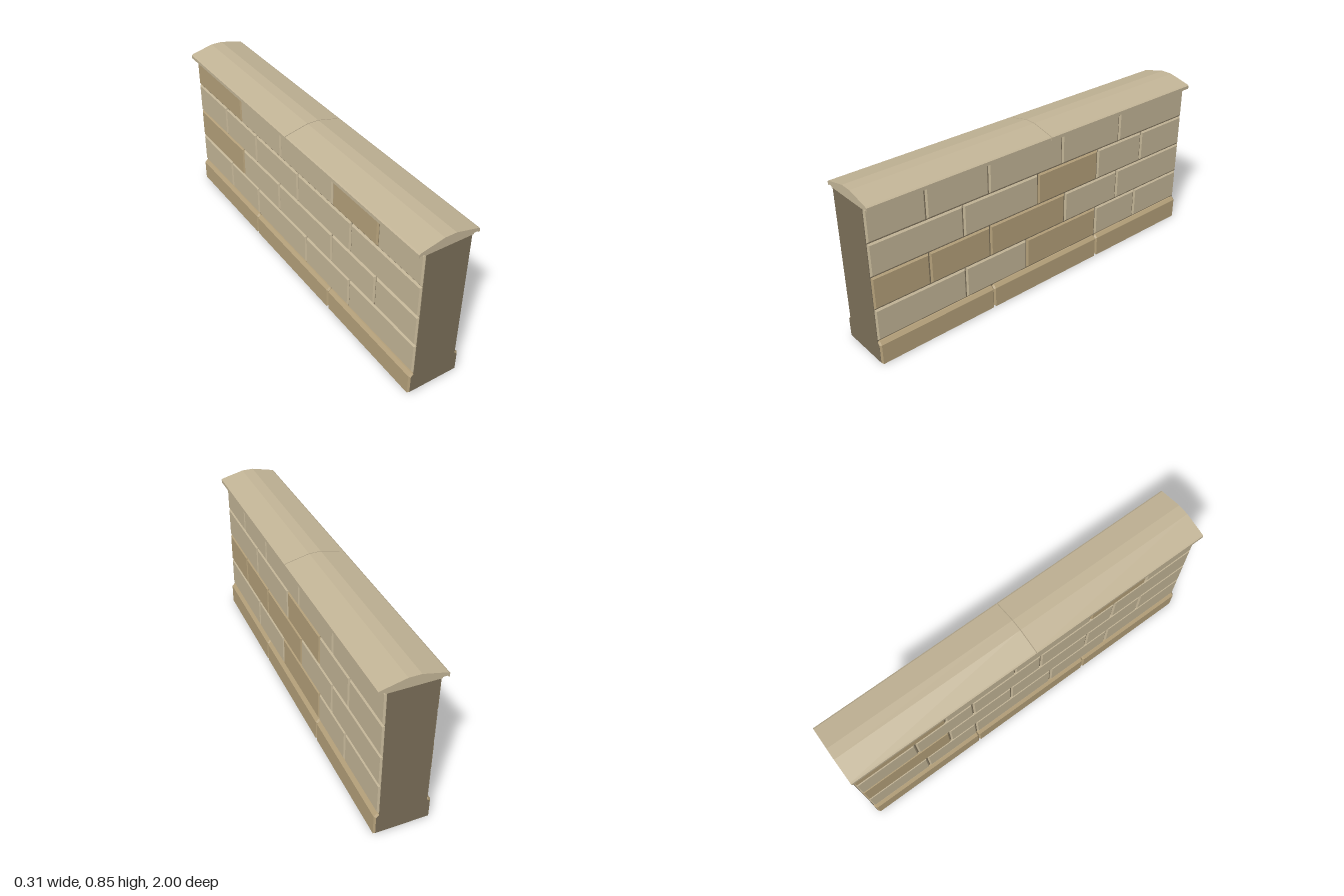
import * as THREE from 'three';

const stone = (color) => new THREE.MeshStandardMaterial({ color });
const lightStone = stone(0xc2b496);
const darkStone = stone(0xb39f79);
const mortar = stone(0x7b6f59);

const shapeOf = (pts) => new THREE.Shape(pts.map(([x, y]) => new THREE.Vector2(x, y)));
const mirrored = (half) => [...half, ...half.map(([x, y]) => [-x, y]).reverse()];

// Prism from z0 to z1 with all its end edges chamfered by b
function prism(pts, z0, z1, b, material, name) {
  const geo = new THREE.ExtrudeGeometry(shapeOf(pts), {
    depth: z1 - z0 - 2 * b, bevelEnabled: b > 0, bevelSize: b,
    bevelThickness: b, bevelOffset: -b, bevelSegments: 1,
  });
  geo.translate(0, 0, z0 + b);
  const mesh = new THREE.Mesh(geo, material);
  mesh.name = name;
  return mesh;
}

// Courses from bottom to top: joint positions along z, and the darker blocks on each face
const courses = [
  { joints: [1, 0.505, 0.13, -0.35, -0.65, -1], dark: { 1: [2], '-1': [] } },
  { joints: [1, 0.7, 0.355, -0.125, -0.5, -1], dark: { 1: [0, 1, 2], '-1': [4] } },
  { joints: [1, 0.505, 0.055, -0.35, -0.675, -1], dark: { 1: [2], '-1': [] } },
  { joints: [1, 0.7, 0.355, -0.1, -0.5, -1], dark: { 1: [], '-1': [1, 4] } },
];

function blockFace(side) {
  const face = new THREE.Group();
  face.name = side > 0 ? 'leftBlocks' : 'rightBlocks';
  const bottom = 0.124, pitch = 0.169, gap = 0.003;
  courses.forEach(({ joints, dark }, row) => {
    const y0 = bottom + row * pitch + gap, y1 = bottom + (row + 1) * pitch - gap;
    for (let i = 0; i < joints.length - 1; i++) {
      // shape x runs along -z on the left face and +z on the right face
      const a = -side * (joints[i] - gap), c = -side * (joints[i + 1] + gap);
      const x0 = Math.min(a, c), x1 = Math.max(a, c);
      const block = prism([[x0, y0], [x1, y0], [x1, y1], [x0, y1]], 0.1, 0.125, 0.007,
        dark[side].includes(i) ? darkStone : lightStone, 'wallBlock');
      block.rotation.y = side * Math.PI / 2;
      face.add(block);
    }
  });
  return face;
}

export function createModel() {
  const wall = new THREE.Group();
  wall.name = 'stoneWall';

  // Mortar core behind the facing blocks
  const core = new THREE.Mesh(new THREE.BoxGeometry(0.232, 0.69, 2), mortar);
  core.name = 'wallCore';
  core.position.y = 0.455;
  wall.add(core, blockFace(1), blockFace(-1));

  // Plinth: three chamfered stones around a mortar core that shows at the ends
  const plinth = mirrored([[0.138, 0], [0.138, 0.106], [0.124, 0.122]]);
  const plinthCore = mirrored([[0.13, 0.008], [0.13, 0.103], [0.12, 0.114]]);
  const cuts = [-0.999, -0.35, 0.35, 0.999];
  for (let i = 0; i < 3; i++) {
    wall.add(prism(plinth, cuts[i], cuts[i + 1], 0.008, darkStone, 'plinthStone'));
  }
  wall.add(prism(plinthCore, -1, 1, 0, mortar, 'plinthCore'));

  // Coping: two sloped cap stones with drip grooves underneath
  const cap = mirrored([[0.124, 0.8], [0.124, 0.806], [0.149, 0.806], [0.149, 0.8],
    [0.155, 0.8], [0.155, 0.817], [0.148, 0.822], [0.03, 0.85]]);
  wall.add(prism(cap, -1, -0.002, 0, lightStone, 'capStone'));
  wall.add(prism(cap, 0.002, 1, 0, lightStone, 'capStone'));

  return wall;
}
